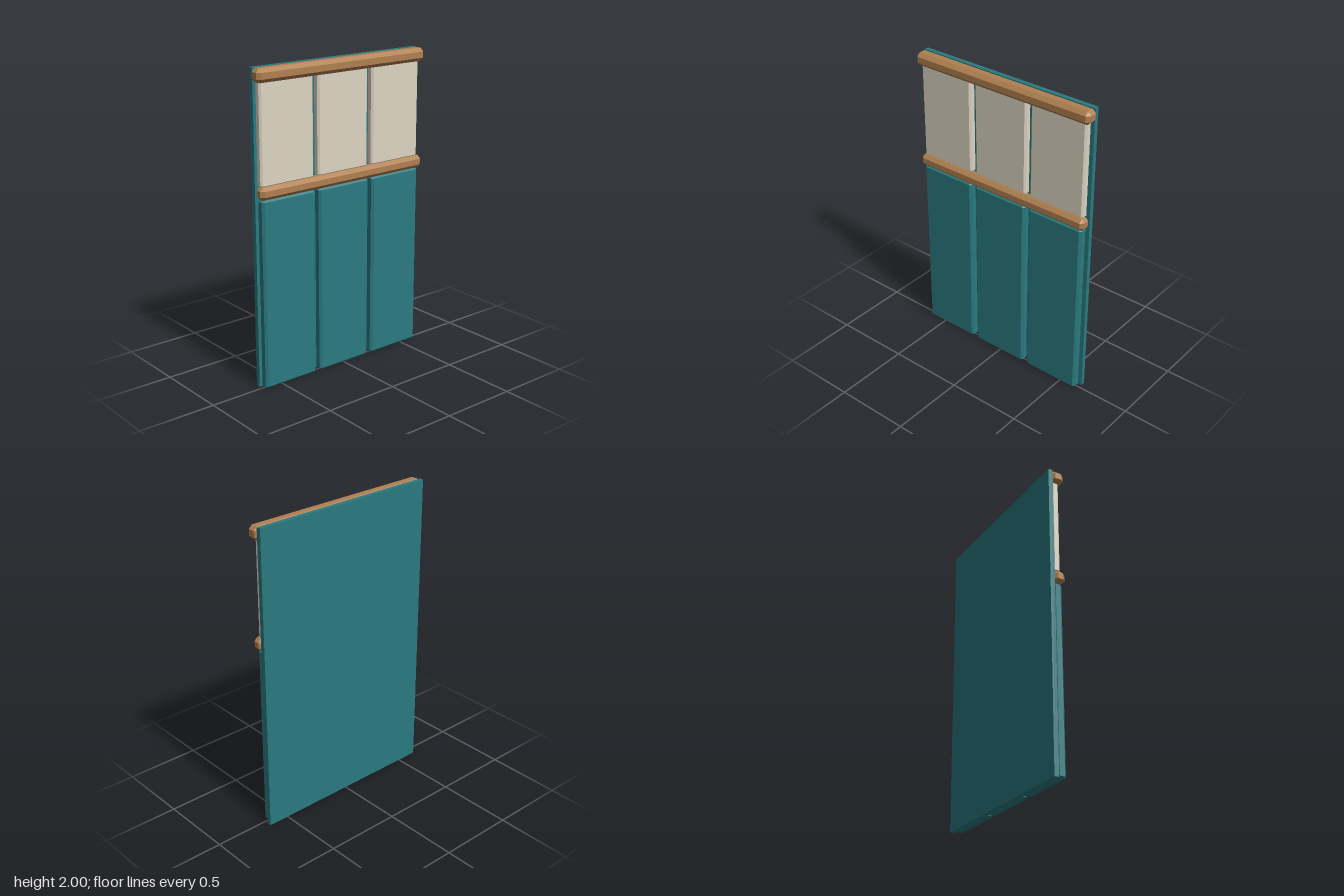
import * as THREE from 'three';
import { ConvexGeometry } from 'three/addons/geometries/ConvexGeometry.js';

// Box between two corners with every edge and corner cut by c
function chamferBox([x0, y0, z0], [x1, y1, z1], c) {
  const centre = new THREE.Vector3(x0 + x1, y0 + y1, z0 + z1).multiplyScalar(0.5);
  const half = [(x1 - x0) / 2, (y1 - y0) / 2, (z1 - z0) / 2];
  const points = [];
  for (const sx of [-1, 1]) for (const sy of [-1, 1]) for (const sz of [-1, 1]) {
    for (let axis = 0; axis < 3; axis++) {
      const [a, b, d] = half.map((h, i) => (i === axis ? h : h - c));
      points.push(new THREE.Vector3(sx * a, sy * b, sz * d).add(centre));
    }
  }
  return new ConvexGeometry(points);
}

export function createModel() {
  const group = new THREE.Group();
  const paint = (color) => new THREE.MeshStandardMaterial({ color, flatShading: true });
  const teal = paint(0x2a7a80), wood = paint(0xb08050), cream = paint(0xddd5c3);

  const add = (name, geometry, material) => {
    const mesh = new THREE.Mesh(geometry, material);
    mesh.name = name;
    group.add(mesh);
  };

  // Flat backing board
  const board = new THREE.BoxGeometry(1.28, 2, 0.03);
  board.translate(0, 1, -0.04);
  add('backBoard', board, teal);

  // Three columns: tall lower panel with a pale panel above
  ['right', 'middle', 'left'].forEach((side, i) => {
    const x0 = -0.627 + i * 0.427, x1 = x0 + 0.394;
    add(side + 'LowerPanel', chamferBox([x0, 0, -0.026], [x1, 1.217, 0.035], 0.014), teal);
    add(side + 'UpperPanel', chamferBox([x0, 1.29, -0.026], [x1, 1.935, 0.025], 0.012), cream);
  });

  // Horizontal wooden rails
  add('middleRail', chamferBox([-0.643, 1.217, -0.024], [0.643, 1.298, 0.053], 0.022), wood);
  add('topRail', chamferBox([-0.652, 1.915, -0.036], [0.652, 2, 0.053], 0.023), wood);

  return group;
}
